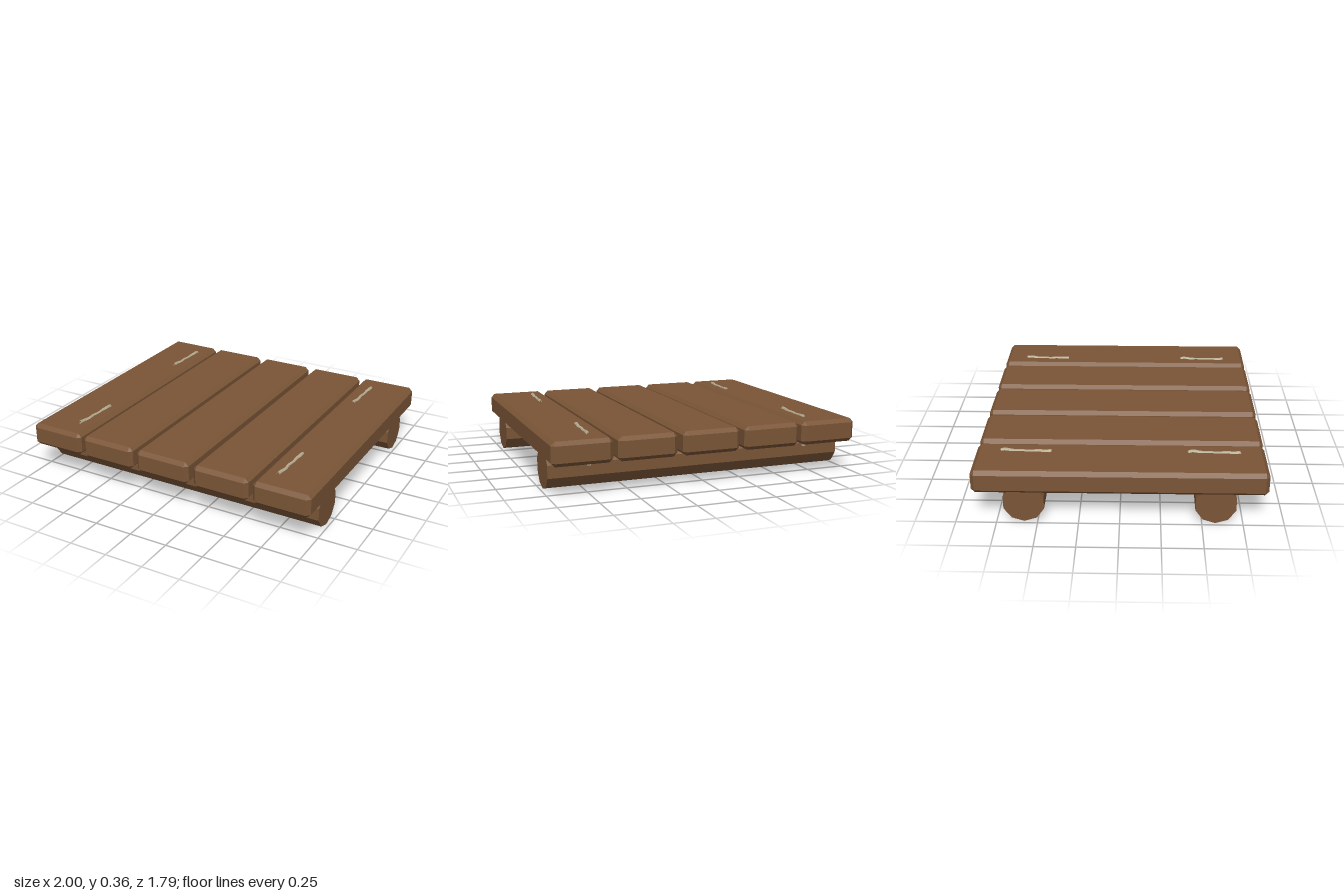
import * as THREE from 'three';
import { ConvexGeometry } from 'three/addons/geometries/ConvexGeometry.js';

// Box with every edge and corner chamfered by c
function chamferedBox(w, h, d, c) {
  const [x, y, z] = [w / 2, h / 2, d / 2];
  const points = [];
  for (const sx of [-1, 1]) for (const sy of [-1, 1]) for (const sz of [-1, 1]) {
    points.push(
      new THREE.Vector3(sx * x, sy * (y - c), sz * (z - c)),
      new THREE.Vector3(sx * (x - c), sy * y, sz * (z - c)),
      new THREE.Vector3(sx * (x - c), sy * (y - c), sz * z));
  }
  return new ConvexGeometry(points);
}

export function createModel() {
  const model = new THREE.Group();
  model.name = 'plankPlatform';

  const wood = new THREE.MeshStandardMaterial({ color: 0x7a5536, flatShading: true });
  wood.name = 'brown wood';
  const metal = new THREE.MeshStandardMaterial({ color: 0xb5ab90, flatShading: true });
  metal.name = 'pale wire';

  const add = (name, geometry, material, x, y, z) => {
    const mesh = new THREE.Mesh(geometry, material);
    mesh.name = name;
    mesh.position.set(x, y, z);
    model.add(mesh);
    return mesh;
  };

  // Deck planks
  const plank = chamferedBox(0.375, 0.15, 1.79, 0.024);
  [-0.812, -0.412, -0.003, 0.408, 0.812].forEach((x, i) =>
    add('plank' + (i + 1), plank, wood, x, 0.275, 0));

  // Ten-sided logs running across underneath, one vertex pointing down
  const log = new THREE.CylinderGeometry(0.13, 0.13, 1.96, 10);
  log.rotateX(Math.PI / 10 * 5).rotateY(Math.PI / 2);
  for (const [name, z] of [['frontLog', 0.582], ['backLog', -0.582]]) {
    const mesh = add(name, log, wood, 0, 0.13, z);
    mesh.rotation.x = 0;
  }

  // Wire staples: slightly wavy bar on top, straight legs through the plank
  const bar = [
    [0.007, 0.350, -0.158], [0.009, 0.353, -0.125], [0.002, 0.348, -0.08],
    [0.004, 0.346, -0.03], [-0.003, 0.347, 0.02], [0.002, 0.348, 0.07],
    [-0.006, 0.351, 0.12], [-0.006, 0.354, 0.158],
  ].map(p => new THREE.Vector3(...p));
  const barGeometry = new THREE.TubeGeometry(new THREE.CatmullRomCurve3(bar), 14, 0.011, 6);
  const legGeometry = new THREE.CylinderGeometry(0.013, 0.013, 0.19, 6);
  for (const x of [-0.727, 0.727]) for (const z of [-0.583, 0.579]) {
    const staple = new THREE.Group();
    staple.name = (z > 0 ? 'front' : 'back') + (x > 0 ? 'Left' : 'Right') + 'Staple';
    const top = new THREE.Mesh(barGeometry, metal);
    top.name = 'stapleBar';
    staple.add(top);
    for (const s of [-1, 1]) {
      const leg = new THREE.Mesh(legGeometry, metal);
      leg.name = 'stapleLeg';
      leg.position.set(-s * 0.006, 0.255, s * 0.153);
      staple.add(leg);
    }
    staple.position.set(x, 0, z);
    model.add(staple);
  }
  return model;
}
